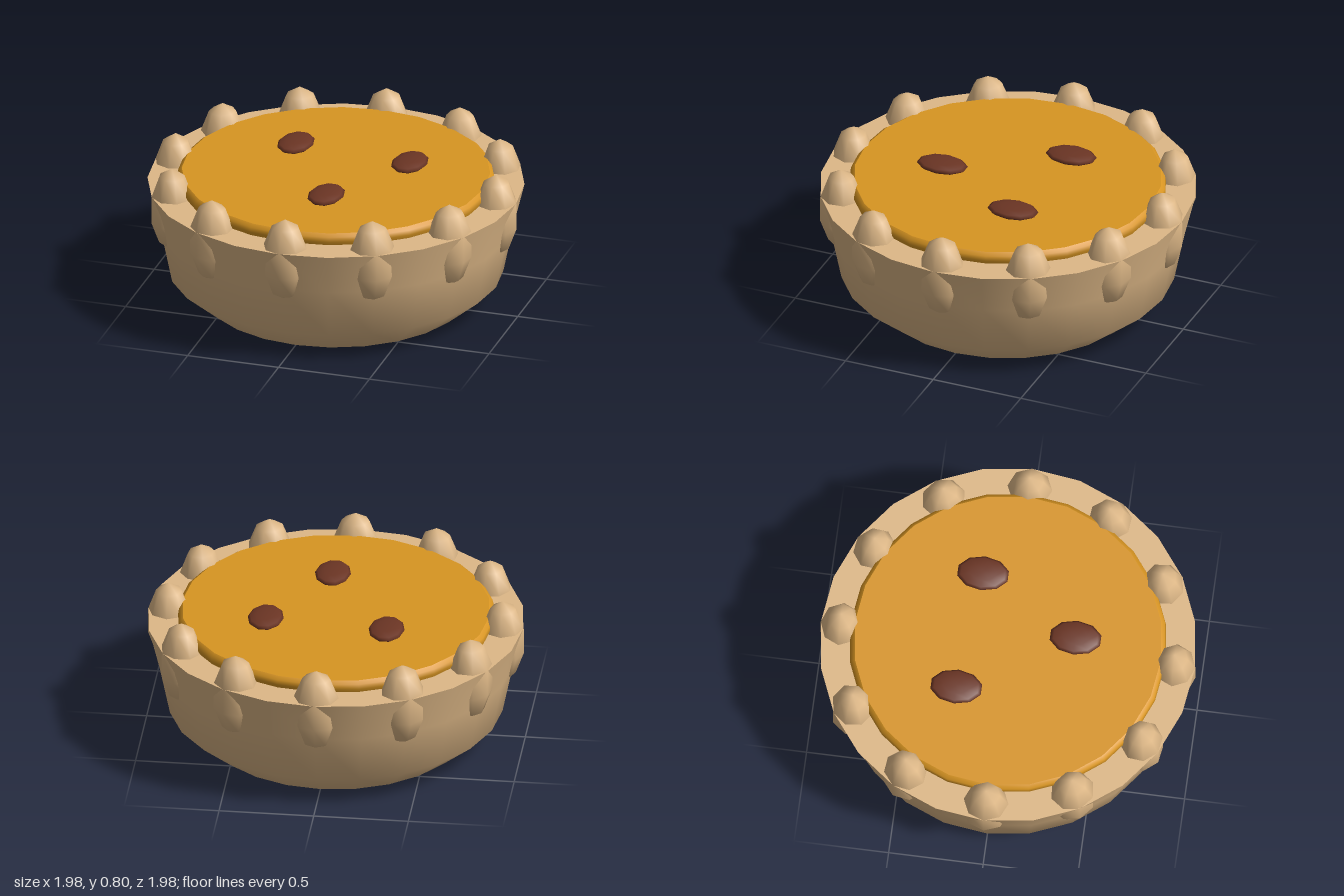
import * as THREE from 'three';

export function createModel() {
  const pie = new THREE.Group();
  pie.name = 'pie';

  const material = (name, color, extra = {}) => {
    const m = new THREE.MeshStandardMaterial({ color, ...extra });
    m.name = name;
    return m;
  };
  const pastry = material('pastry', 0xdeb887);
  const custard = material('custard', 0xd89522);
  const chocolate = material('chocolate', 0x6b3524);

  const add = (name, geometry, mat, parent = pie) => {
    const mesh = new THREE.Mesh(geometry, mat);
    mesh.name = name;
    parent.add(mesh);
    return mesh;
  };
  const lathe = (points, segments = 24) =>
    new THREE.LatheGeometry(points.map(([r, y]) => new THREE.Vector2(r, y)), segments);

  // Crust: flat base, sloping side and flat top rim
  add('crustBase', lathe([[0, 0], [0.7, 0]]), pastry);
  add('crustSide', lathe([[0.7, 0], [0.88, 0.15], [0.935, 0.42], [0.99, 0.645]]), pastry);
  add('crustRim', lathe([[0.99, 0.645], [0.78, 0.645]]), pastry);

  // Filling: rounded edge and flat top
  add('fillingEdge', lathe([[0.82, 0.63], [0.835, 0.665], [0.83, 0.69], [0.81, 0.705]]), custard);
  add('fillingTop', lathe([[0.81, 0.705], [0, 0.705]]), custard);

  // Twelve crimps pressed over the rim
  const crimpGeometry = new THREE.SphereGeometry(1, 8, 5);
  const crimps = new THREE.Group();
  crimps.name = 'crimps';
  pie.add(crimps);
  for (let i = 0; i < 12; i++) {
    const a = (i / 12) * Math.PI * 2;
    const crimp = add('crimp', crimpGeometry, pastry, crimps);
    crimp.scale.set(0.126, 0.23, 0.116);
    crimp.position.set(Math.sin(a) * 0.882, 0.57, Math.cos(a) * 0.882);
    crimp.rotation.y = a;
  }

  // Three flattened chips on the filling
  const chipGeometry = new THREE.SphereGeometry(1, 10, 6);
  for (const [x, z] of [[-0.295, -0.235], [0.35, -0.178], [0.057, 0.35]]) {
    const chip = add('chip', chipGeometry, chocolate);
    chip.scale.set(0.095, 0.025, 0.14);
    chip.position.set(x, 0.723, z);
  }

  return pie;
}
